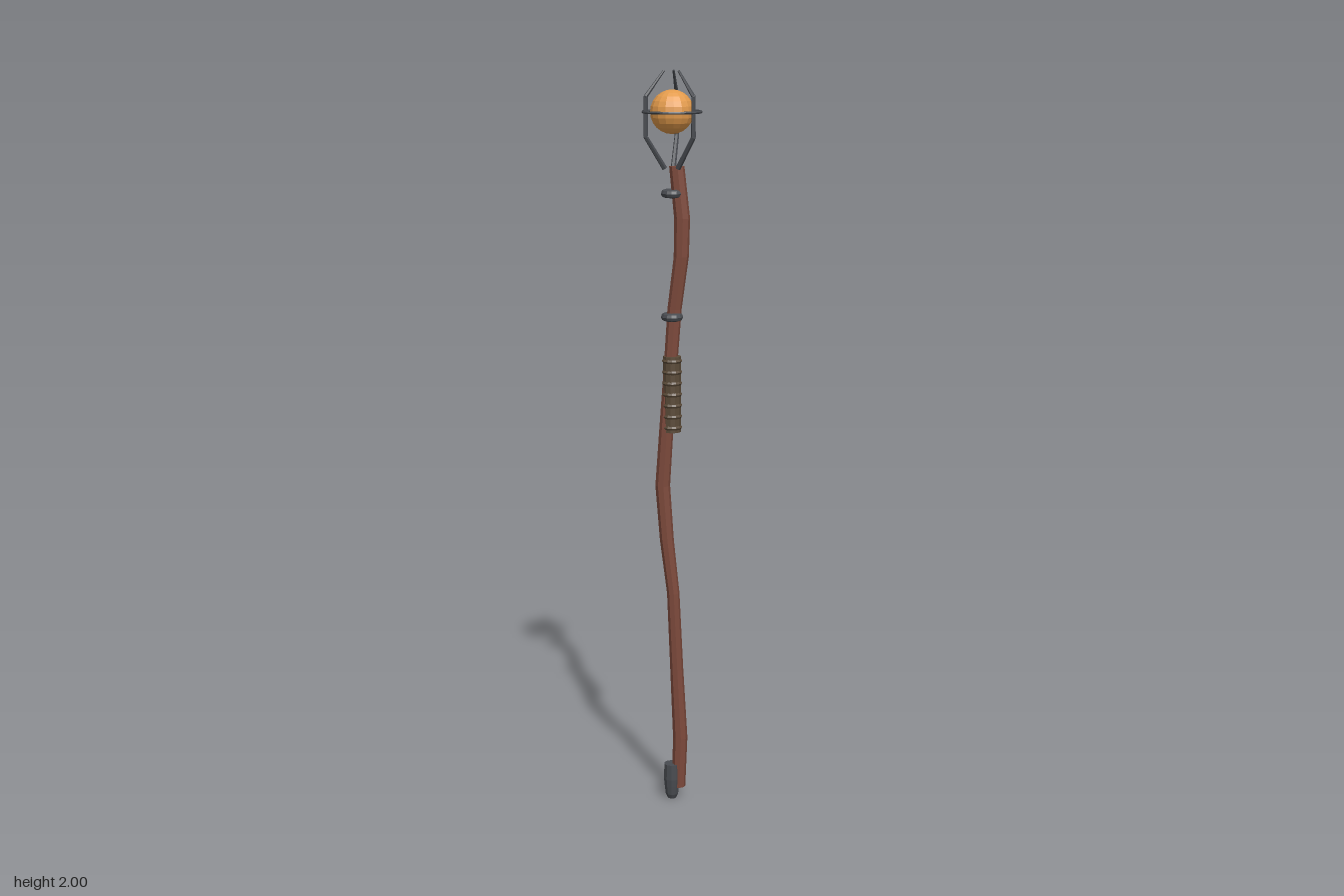
import * as THREE from 'three';

const material = (color, flatShading = true) => {
  const m = new THREE.MeshStandardMaterial({ flatShading });
  m.color.set(color);
  return m;
};

export function createModel() {
  const staff = new THREE.Group();
  staff.name = 'staff';
  const wood = material(0x7d4a3c);
  const metal = material(0x484b50);
  const leather = material(0x5a4a38);
  const amber = material(0xe39b4c);

  const add = (name, geometry, mat, y = 0, parent = staff) => {
    const mesh = new THREE.Mesh(geometry, mat);
    mesh.name = name;
    mesh.position.y = y;
    parent.add(mesh);
    return mesh;
  };

  // Crooked shaft: cross-sections as [x, y, z, radius], bottom to top
  const sections = [
    [0.012, 0.035, -0.014, 0.019], [0.018, 0.18, -0.014, 0.02],
    [0.012, 0.38, -0.006, 0.018], [0.006, 0.6, 0.002, 0.017],
    [-0.01, 0.75, 0.01, 0.019], [-0.021, 0.9, 0.014, 0.02],
    [-0.012, 1.06, 0.009, 0.019], [-0.005, 1.22, 0.001, 0.018],
    [0.002, 1.38, -0.008, 0.019], [0.02, 1.52, -0.014, 0.02],
    [0.021, 1.62, -0.016, 0.021], [0.006, 1.755, -0.012, 0.02],
  ];
  const last = sections.length - 1;
  const shaft = new THREE.CylinderGeometry(1, 1, 1, 8, last);
  const p = shaft.attributes.position;
  for (let i = 0; i < p.count; i++) {
    const [x, y, z, r] = sections[Math.round((p.getY(i) + 0.5) * last)];
    p.setXYZ(i, x + p.getX(i) * r, y, z + p.getZ(i) * r);
  }
  shaft.computeVertexNormals();
  add('shaft', shaft, wood);

  // Metal foot with a rounded tip
  const footProfile = [[0, 0], [0.012, 0.002], [0.018, 0.015], [0.021, 0.04],
    [0.023, 0.06], [0.022, 0.103], [0, 0.103]].map(([x, y]) => new THREE.Vector2(x, y));
  add('footCap', new THREE.LatheGeometry(footProfile, 10), metal);

  // Leather grip with raised wraps
  const grip = new THREE.Group();
  grip.name = 'grip';
  staff.add(grip);
  add('gripCore', new THREE.CylinderGeometry(0.024, 0.024, 0.205, 12), leather, 1.152, grip);
  for (let i = 0; i < 7; i++) {
    const wrap = new THREE.TorusGeometry(0.021, 0.006, 6, 14).rotateX(Math.PI / 2);
    add('gripWrap', wrap, leather, 1.062 + i * 0.03, grip);
  }

  // Metal bands on the upper shaft
  for (const y of [1.36, 1.685]) {
    add('band', new THREE.TorusGeometry(0.019, 0.011, 8, 14).rotateX(Math.PI / 2), metal, y);
  }

  // Orb and the ring around it
  add('orb', new THREE.SphereGeometry(0.057, 16, 12), amber, 1.895);
  add('ring', new THREE.TorusGeometry(0.075, 0.004, 6, 32).rotateX(Math.PI / 2), metal, 1.895);

  // Three bent claws, each made of straight tapered rods: [reach, height, radius]
  const bends = [[0.02, 1.75, 0.007], [0.072, 1.832, 0.006],
    [0.072, 1.935, 0.0055], [0.022, 2, 0.003]];
  for (let k = 0; k < 3; k++) {
    const claw = new THREE.Group();
    claw.name = 'claw';
    claw.rotation.y = (k * Math.PI * 2) / 3;
    staff.add(claw);
    for (let i = 0; i < 3; i++) {
      const [x0, y0, r0] = bends[i];
      const [x1, y1, r1] = bends[i + 1];
      const length = Math.hypot(x1 - x0, y1 - y0);
      const rod = add('clawRod', new THREE.CylinderGeometry(r1, r0, length, 6), metal, (y0 + y1) / 2, claw);
      rod.position.x = (x0 + x1) / 2;
      rod.rotation.z = -Math.atan2(x1 - x0, y1 - y0);
      if (i > 0) {
        const joint = add('clawJoint', new THREE.SphereGeometry(r0, 6, 5), metal, y0, claw);
        joint.position.x = x0;
      }
    }
  }
  return staff;
}
